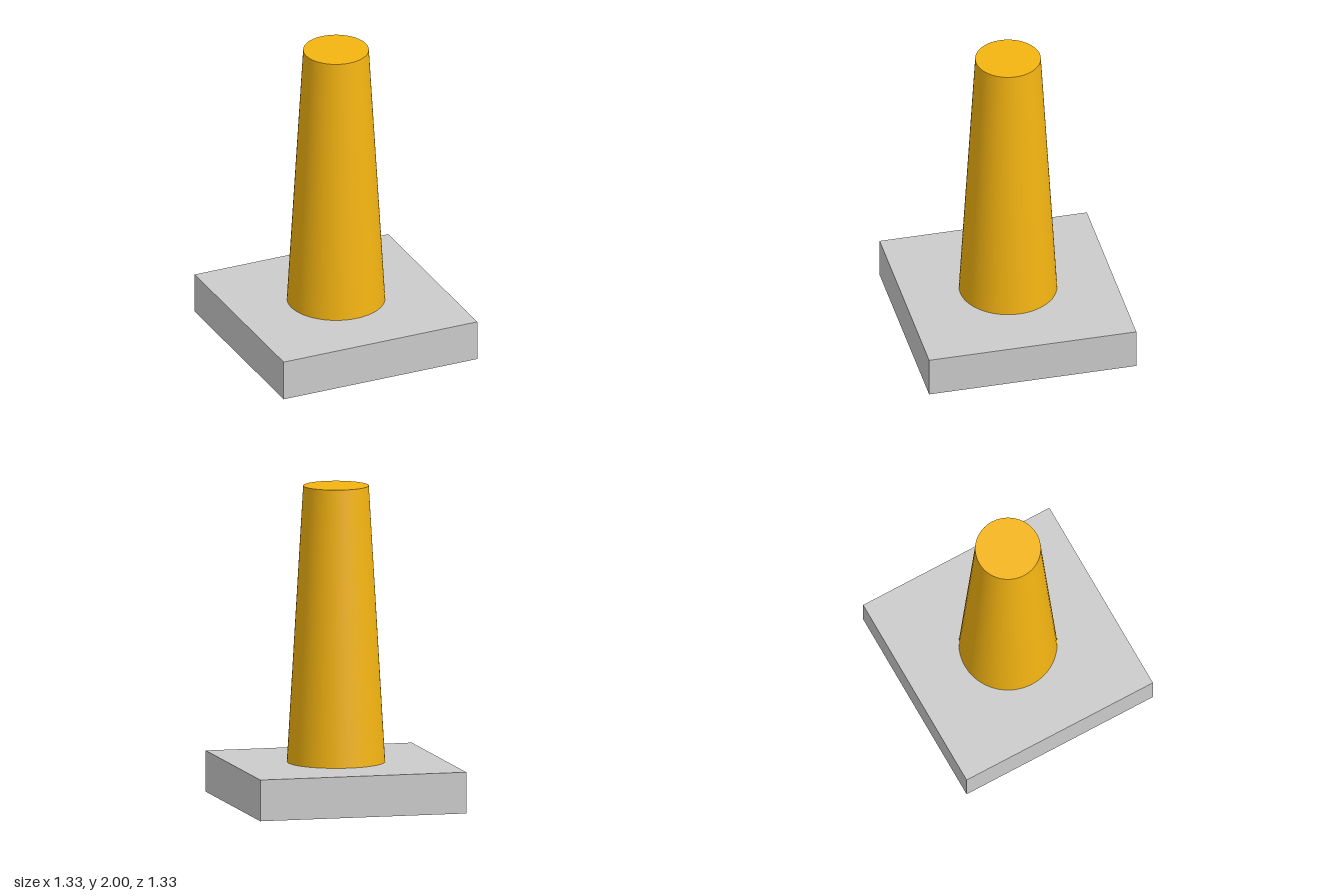
import * as THREE from 'three';

const BASE_SIZE = 1.33, BASE_HEIGHT = 0.26, TOTAL_HEIGHT = 2;
const BOTTOM_RADIUS = 0.307, TOP_RADIUS = 0.205;

export function createModel() {
  const model = new THREE.Group();
  model.name = 'taperedPost';

  // Square plinth
  const base = new THREE.Mesh(
    new THREE.BoxGeometry(BASE_SIZE, BASE_HEIGHT, BASE_SIZE),
    new THREE.MeshStandardMaterial({ color: 0xcccccc })
  );
  base.name = 'base';
  base.position.y = BASE_HEIGHT / 2;

  // Smooth tapered column with a flat top
  const columnHeight = TOTAL_HEIGHT - BASE_HEIGHT;
  const column = new THREE.Mesh(
    new THREE.CylinderGeometry(TOP_RADIUS, BOTTOM_RADIUS, columnHeight, 64),
    new THREE.MeshStandardMaterial({ color: 0xf5b512 })
  );
  column.name = 'column';
  column.position.y = BASE_HEIGHT + columnHeight / 2;

  model.add(base, column);
  return model;
}
